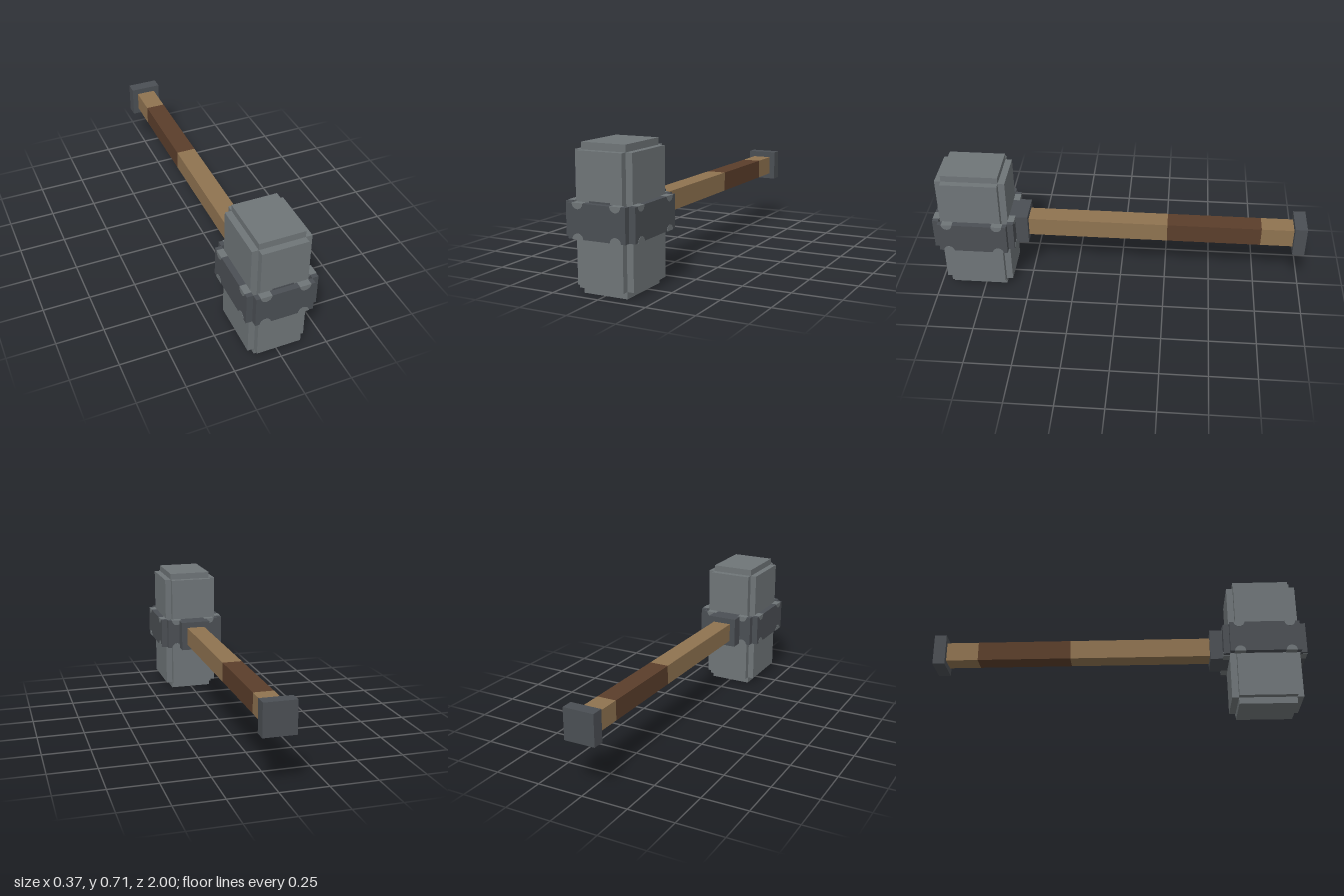
import * as THREE from 'three';

const material = (name, color) => {
  const m = new THREE.MeshStandardMaterial({ color });
  m.name = name;
  return m;
};

export function createModel() {
  const stone = material('stone', 0x6f7578);
  const iron = material('dark iron', 0x4b4f54);
  const wood = material('wood', 0x8f7350);
  const leather = material('leather', 0x5b3e2b);

  const hammer = new THREE.Group();
  hammer.name = 'hammer';

  // Box given by its extents on each axis
  const box = (name, mat, [x0, x1], [y0, y1], [z0, z1], parent = hammer) => {
    const mesh = new THREE.Mesh(new THREE.BoxGeometry(x1 - x0, y1 - y0, z1 - z0), mat);
    mesh.position.set((x0 + x1) / 2, (y0 + y1) / 2, (z0 + z1) / 2);
    mesh.name = name;
    parent.add(mesh);
    return mesh;
  };

  const midY = 0.357, midZ = 0.7825;
  const bandY = [0.273, 0.441];

  // Head: core with end faces, and two crossing slabs that leave notched corners
  const head = new THREE.Group();
  head.name = 'head';
  hammer.add(head);
  box('headCore', stone, [-0.118, 0.118], [0, 0.713], [0.632, 0.933], head);
  box('headSideSlabs', stone, [-0.152, 0.152], [0.035, 0.678], [0.632, 0.933], head);
  box('headFrontBackSlabs', stone, [-0.118, 0.118], [0.035, 0.678], [0.597, 0.968], head);

  // Half-round worn chip, cut through the full thickness of a band plate
  const thickness = 0.033, skin = 0.0015;
  const half = new THREE.Shape();
  half.moveTo(0.029, 0);
  half.absarc(0, 0, 0.029, 0, Math.PI, true);
  half.closePath();
  const chipGeometry = new THREE.ExtrudeGeometry(half, {
    depth: thickness + 2 * skin, bevelEnabled: false, curveSegments: 10,
  });
  chipGeometry.translate(0, 0, -thickness / 2 - skin);

  // Band: four plates around the head, each with chips near its corners
  const plates = [
    { name: 'frontPlate', angle: 0, out: 0.202, halfWidth: 0.152, chip: 0.1 },
    { name: 'backPlate', angle: Math.PI, out: 0.202, halfWidth: 0.152, chip: 0.1 },
    { name: 'leftPlate', angle: Math.PI / 2, out: 0.1685, halfWidth: 0.1855, chip: 0.134 },
    { name: 'rightPlate', angle: -Math.PI / 2, out: 0.1685, halfWidth: 0.1855, chip: 0.134 },
  ];
  for (const { name, angle, out, halfWidth, chip } of plates) {
    const plate = new THREE.Group();
    plate.name = name;
    plate.position.set(Math.sin(angle) * out, midY, midZ + Math.cos(angle) * out);
    plate.rotation.y = angle;
    hammer.add(plate);
    box('bandPlate', iron, [-halfWidth, halfWidth], [-0.084, 0.084],
      [-thickness / 2, thickness / 2], plate);
    for (const sx of [-1, 1]) {
      for (const sy of [-1, 1]) {
        const mesh = new THREE.Mesh(chipGeometry, stone);
        mesh.name = 'wornChip';
        mesh.position.set(sx * chip, sy * (0.084 + skin), 0);
        mesh.rotation.z = sy > 0 ? 0 : Math.PI;
        plate.add(mesh);
      }
    }
  }
  // Dark rim of the band on the front of the head
  box('bandRim', iron, [-0.055, 0.055], [0.265, 0.449], [0.965, 0.971]);

  // Collar joining band and handle
  box('collar', iron, [-0.084, 0.084], bandY, [0.497, 0.566]);

  // Handle in three lengths, with the wrapped grip in the middle
  const hx = [-0.052, 0.052], hy = [0.305, 0.409];
  box('handleFront', wood, hx, hy, [-0.257, 0.5]);
  box('grip', leather, hx, hy, [-0.762, -0.257]);
  box('handleRear', wood, hx, hy, [-0.937, -0.762]);
  box('pommel', iron, [-0.084, 0.084], bandY, [-1, -0.935]);

  return hammer;
}
